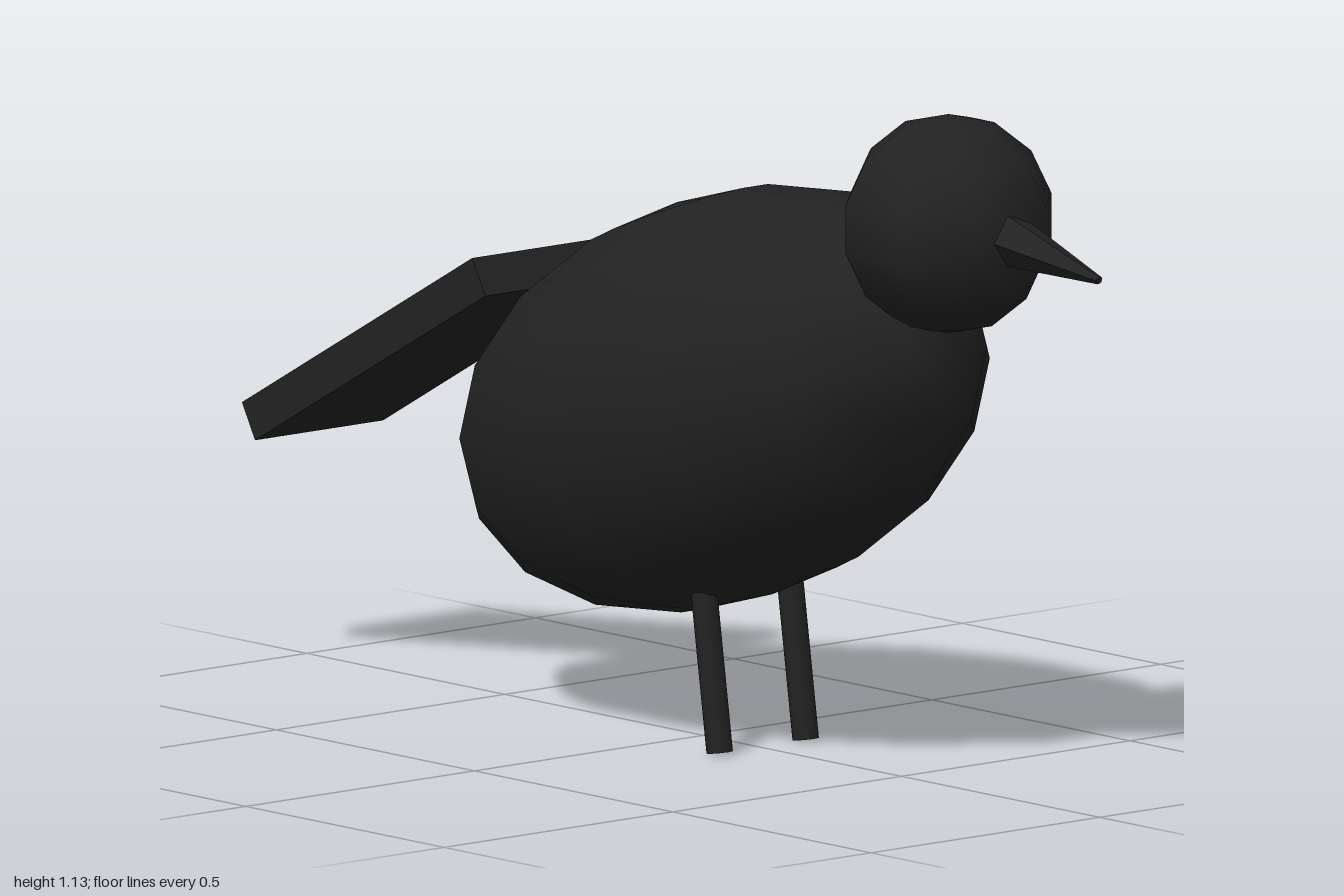
import * as THREE from 'three';

export function createModel() {
  const bird = new THREE.Group();
  bird.name = 'bird';
  const black = new THREE.MeshStandardMaterial({ color: 0x222222 });
  black.name = 'black feathers';

  const add = (name, geometry, x, y, z, tilt = 0) => {
    const mesh = new THREE.Mesh(geometry, black);
    mesh.name = name;
    mesh.position.set(x, y, z);
    mesh.rotation.z = tilt;
    bird.add(mesh);
    return mesh;
  };

  // Egg-shaped body, pitched up towards the head at +x
  const bodyShape = new THREE.SphereGeometry(1, 12, 9)
    .rotateY(Math.PI / 12)
    .scale(0.62, 0.335, 0.305);
  add('body', bodyShape, 0.054, 0.574, 0, THREE.MathUtils.degToRad(21));

  // Round head
  add('head', new THREE.SphereGeometry(0.184, 8, 7).rotateY(Math.PI / 8), 0.619, 0.945, 0);

  // Five-sided faceted beak, pointing slightly down
  const base = new THREE.Vector2(0.75, 0.944);
  const tip = new THREE.Vector2(0.999, 0.902);
  const beakAxis = tip.clone().sub(base);
  const beakShape = new THREE.CylinderGeometry(0.007, 0.05, beakAxis.length(), 5).toNonIndexed();
  beakShape.computeVertexNormals();
  add('beak', beakShape, (base.x + tip.x) / 2, (base.y + tip.y) / 2, 0,
    Math.atan2(beakAxis.y, beakAxis.x) - Math.PI / 2);

  // Flat tail sloping down and back
  add('tail', new THREE.BoxGeometry(0.664, 0.068, 0.28), -0.695, 0.57, 0, THREE.MathUtils.degToRad(29));

  // Pair of thin legs
  for (const [name, side] of [['leftLeg', -1], ['rightLeg', 1]]) {
    add(name, new THREE.CylinderGeometry(0.022, 0.022, 0.3, 8), 0.128, 0.152, side * 0.094,
      THREE.MathUtils.degToRad(8.5));
  }

  return bird;
}
